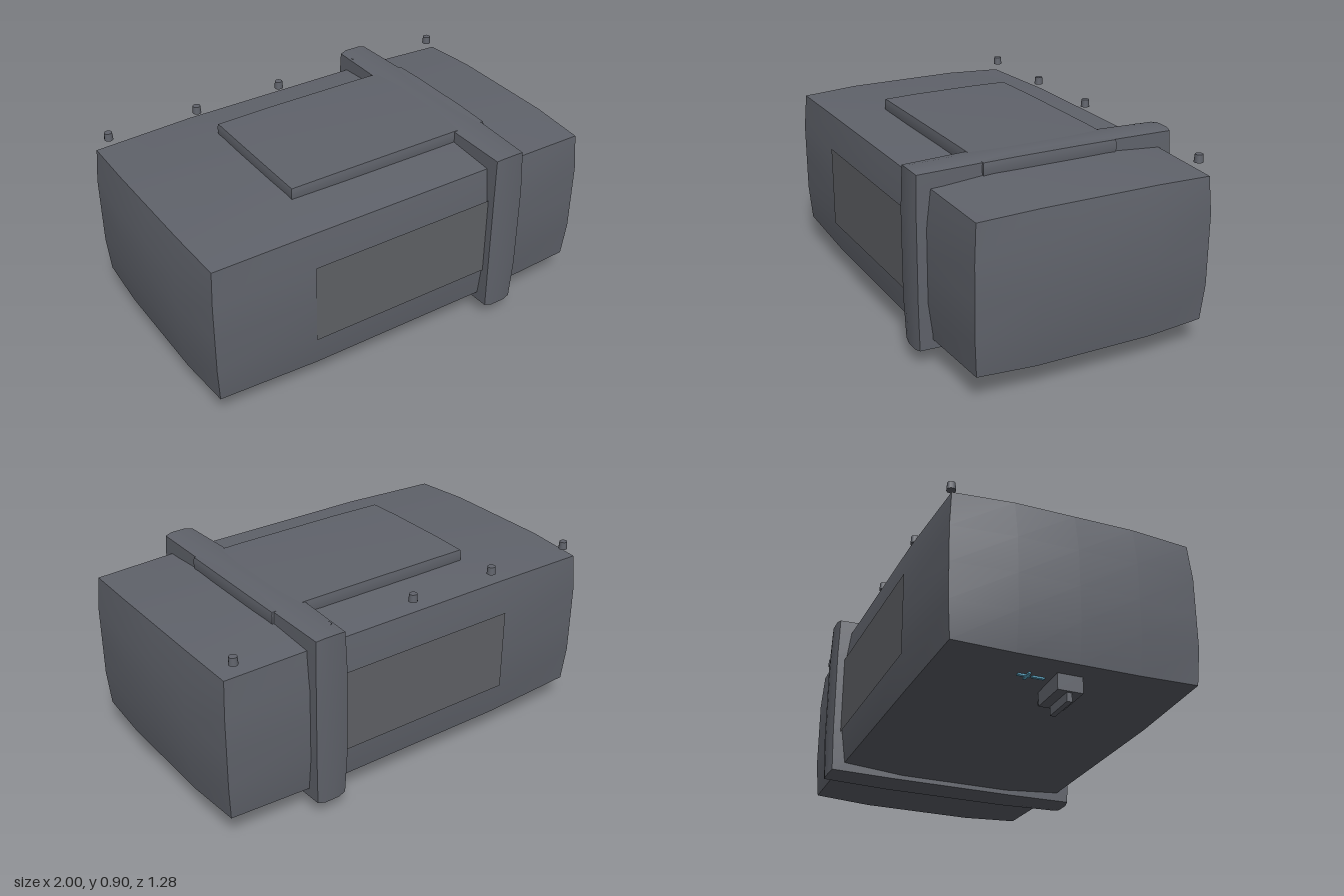
import * as THREE from 'three';

const fabric = new THREE.MeshStandardMaterial({ color: 0x60636b });
const panelFabric = new THREE.MeshStandardMaterial({ color: 0x606266 });
const blue = new THREE.MeshStandardMaterial({ color: 0x5fb0d0 });

export function createModel() {
  const group = new THREE.Group();

  function add(name, geometry, x, y, z, material = fabric) {
    const mesh = new THREE.Mesh(geometry, material);
    mesh.name = name;
    mesh.position.set(x, y, z);
    group.add(mesh);
    return mesh;
  }

  // Box whose faces swell outwards; the edges swell less and the corners stay put.
  function puffedBox(w, h, d, bulge, edgeBulge) {
    const g = new THREE.BoxGeometry(w, h, d, 4, 4, 4);
    const p = g.attributes.position;
    const half = [w / 2, h / 2, d / 2];
    for (let i = 0; i < p.count; i++) {
      const v = [p.getX(i), p.getY(i), p.getZ(i)];
      const onSide = v.map((c, k) => Math.abs(c) > half[k] - 1e-5);
      const sides = onSide.filter(Boolean).length;
      const push = sides === 1 ? bulge : sides === 2 ? edgeBulge : 0;
      p.setXYZ(i, ...v.map((c, k) => (onSide[k] ? c + Math.sign(c) * push : c)));
    }
    g.computeVertexNormals();
    return g;
  }

  // Padded body
  add('body', puffedBox(1.924, 0.674, 1.108, 0.038, 0.012), 0, 0.467, 0);

  // Flat panels on the front and back
  for (const side of [1, -1]) {
    const panel = add('sidePanel', new THREE.PlaneGeometry(1, 0.39), 0, 0.467, side * 0.596, panelFabric);
    if (side < 0) panel.rotation.y = Math.PI;
  }

  // Wide band around the body
  add('band', puffedBox(0.145, 0.805, 1.25, 0.013, 0.007), 0.498, 0.479, 0);

  // Raised lid plate
  add('lidPlate', puffedBox(1.035, 0.06, 0.65, 0.006, 0.003), 0.069, 0.86, 0);

  // Row of studs along the back of the top
  const stud = new THREE.CylinderGeometry(0.018, 0.021, 0.036, 12);
  for (let i = 0; i < 5; i++) add('stud', stud, -0.904 + i * 0.452, 0.871, -0.535);

  // Bracket with a hanging fin under the body
  add('bracket', new THREE.BoxGeometry(0.185, 0.08, 0.116), -0.79, 0.08, 0);
  add('bracketFin', new THREE.BoxGeometry(0.16, 0.045, 0.024), -0.79, 0.0225, 0);
  add('catch', new THREE.BoxGeometry(0.055, 0.03, 0.05), -0.645, 0.099, 0);

  // Small blue marker strips on the underside
  for (const z of [-0.115, -0.18]) {
    add('markerStrip', new THREE.BoxGeometry(0.014, 0.012, 0.055), -0.82, 0.109, z, blue);
  }
  add('markerCross', new THREE.BoxGeometry(0.06, 0.012, 0.012), -0.82, 0.109, -0.165, blue);

  return group;
}
